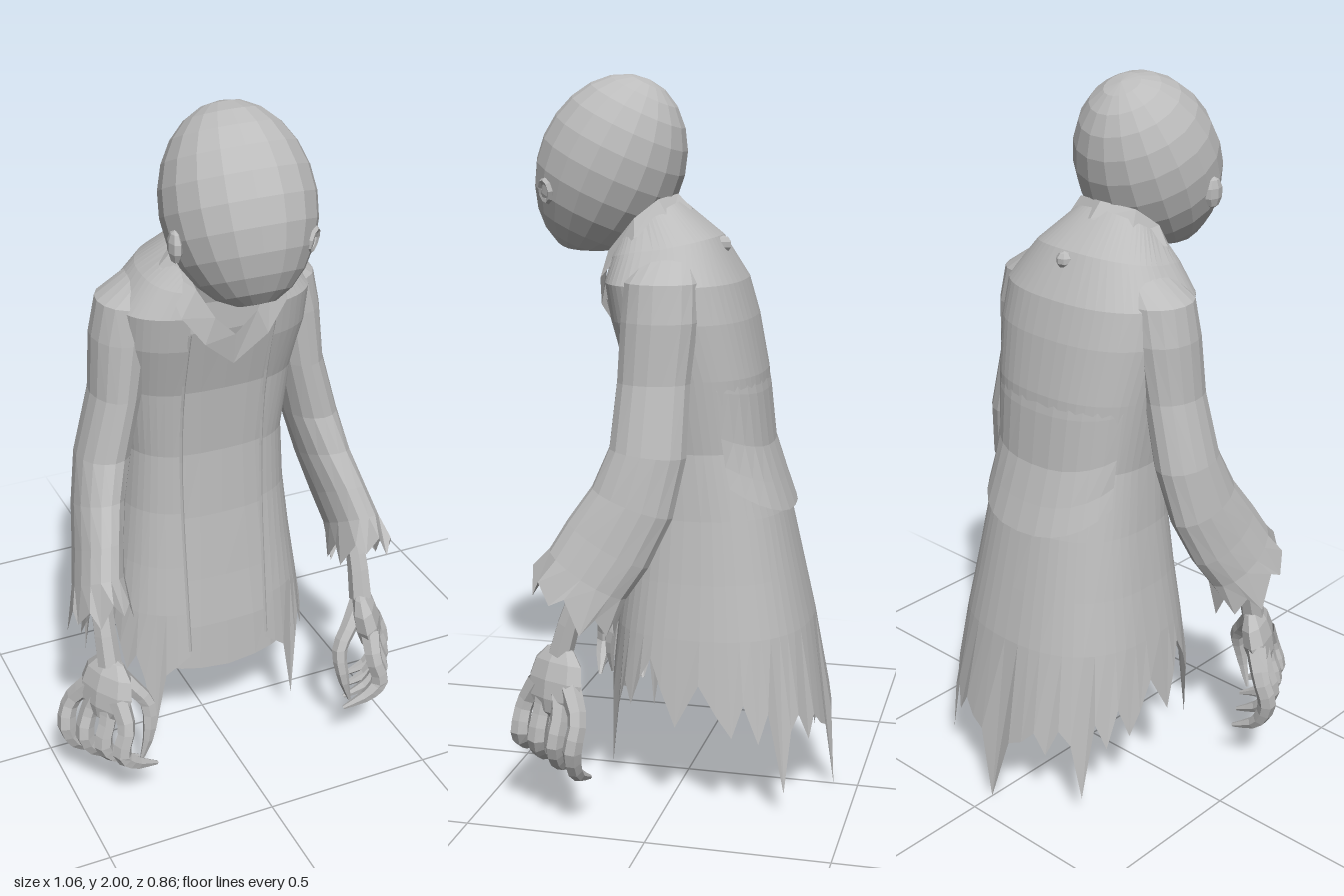
import * as THREE from 'three';

const grey = new THREE.MeshStandardMaterial({ color: 0xbcbcbc, side: THREE.DoubleSide, flatShading: true });
grey.name = 'plain grey';

// Surface through rows of points; every row has the same number of points.
function loft(rows, closed = false) {
  const n = rows[0].length, pos = rows.flat(2), index = [];
  for (let r = 0; r < rows.length - 1; r++)
    for (let c = 0; c < (closed ? n : n - 1); c++) {
      const d = (c + 1) % n, a = r * n + c, b = r * n + d;
      index.push(a, a + n, b, b, a + n, b + n);
    }
  const g = new THREE.BufferGeometry();
  g.setAttribute('position', new THREE.Float32BufferAttribute(pos, 3));
  g.setIndex(index);
  g.computeVertexNormals();
  return g;
}

function add(group, name, geometry) {
  const m = new THREE.Mesh(geometry, grey);
  m.name = name;
  group.add(m);
  return m;
}

// Round limb along a curve, with a radius for each control point.
function limb(points, radii, sides = 6, steps = 10) {
  const curve = new THREE.CatmullRomCurve3(points.map(p => new THREE.Vector3(...p)));
  const { normals, binormals } = curve.computeFrenetFrames(steps);
  const rows = [];
  for (let i = 0; i <= steps; i++) {
    const t = i / steps, f = t * (radii.length - 1), k = Math.min(Math.floor(f), radii.length - 2);
    const r = THREE.MathUtils.lerp(radii[k], radii[k + 1], f - k), c = curve.getPoint(t), row = [];
    for (let j = 0; j < sides; j++) {
      const a = j / sides * Math.PI * 2;
      row.push(c.clone().addScaledVector(normals[i], -Math.cos(a) * r)
        .addScaledVector(binormals[i], Math.sin(a) * r).toArray());
    }
    rows.push(row);
  }
  return loft(rows, true);
}

// Coat outline: height, half width, front z, back z
const PROFILE = [
  [1.61, 0.13, 0.18, 0.02], [1.54, 0.205, 0.2, -0.09], [1.45, 0.275, 0.21, -0.16], [1.35, 0.275, 0.195, -0.19],
  [1.2, 0.255, 0.155, -0.22], [1.0, 0.235, 0.14, -0.237], [0.82, 0.25, 0.147, -0.29], [0.6, 0.28, 0.17, -0.34],
  [0.4, 0.315, 0.195, -0.385], [0.25, 0.33, 0.2, -0.41], [0, 0.34, 0.21, -0.43],
];
function profileAt(y) {
  let i = 0;
  while (i < PROFILE.length - 2 && y < PROFILE[i + 1][0]) i++;
  const a = PROFILE[i], b = PROFILE[i + 1];
  const t = THREE.MathUtils.clamp((a[0] - y) / (a[0] - b[0]), 0, 1);
  return [1, 2, 3].map(k => a[k] + (b[k] - a[k]) * t);
}
// The front is boxier than the back
const FRONT_POW = 0.72, BACK_POW = 0.85;
// Point on the coat; angle 0 is the front, grow pushes the surface outward
function coatPoint(angle, y, grow = 0) {
  const [w, zf, zb] = profileAt(y), s = Math.sin(angle), c = Math.cos(angle);
  const pow = c > 0 ? FRONT_POW : BACK_POW;
  const rise = y > 1.45 ? -0.05 * c * (y - 1.45) / 0.16 : 0;
  return [Math.sign(s) * Math.abs(s) ** pow * (w + grow), y + rise,
    (zf + zb) / 2 + Math.sign(c) * Math.abs(c) ** pow * ((zf - zb) / 2 + grow)];
}
function openAngle(y) {
  const w = profileAt(y)[0];
  return Math.asin((Math.min(0.12, w * 0.65) / w) ** (1 / FRONT_POW));
}

// Ragged hem heights from the front edge to the middle of the back
const HEM = [0.36, 0.33, 0.3, 0.1, 0.28, 0.36, 0.3, 0.38, 0.44, 0.36, 0.26, 0.38, 0.3,
  0.24, 0.33, 0.22, 0.3, 0.07, 0.24, 0.28, 0.2, 0.26, 0.22, 0.2, 0];

function buildClothes(group) {
  const heights = [1.61, 1.54, 1.45, 1.35, 1.2, 1.0, 0.82, 0.65, 0.5], cols = 48;
  const rows = [...heights, null].map(h => {
    const row = [];
    for (let c = 0; c <= cols; c++) {
      const y = h ?? HEM[c <= 24 ? c : cols - c], a0 = openAngle(y);
      row.push(coatPoint(a0 + (2 * Math.PI - 2 * a0) * c / cols, y));
    }
    return row;
  });
  add(group, 'coat', loft(rows));

  // Shirt front showing between the coat edges
  const shirt = [1.5, 1.4, 1.2, 1.0, 0.8, 0.6, 0.45, 0.32].map(y => {
    const row = [];
    for (let c = 0; c <= 10; c++) {
      const a = (c / 10 - 0.5) * 1.7;
      row.push(coatPoint(a, y === 0.32 ? 0.3 + 0.04 * Math.abs(c / 5 - 1) : y, -0.006));
    }
    return row;
  });
  add(group, 'shirt', loft(shirt));

  // Flap over the back, lifting off toward the middle of its hem
  const flap = [1.3, 1.15, 1.0, 0.9, 0.82].map((h, r) => {
    const row = [];
    for (let c = 0; c <= 12; c++) {
      const u = c / 6 - 1;
      row.push(coatPoint(Math.PI + u * 1.1, h + (r / 4) * 0.09 * u * u, -0.002 + 0.005 * r * (1 - 0.6 * u * u)));
    }
    return row;
  });
  add(group, 'backFlap', loft(flap));

  // Collar running round the neck and down to a point at the front
  const inner = [[0, 1.39, 0.215], [0.06, 1.45, 0.22], [0.105, 1.53, 0.2], [0.13, 1.62, 0.12], [0.1, 1.67, 0.06], [0, 1.68, 0.03]];
  const outer = [[0, 1.3, 0.205], [0.09, 1.38, 0.225], [0.15, 1.46, 0.21], [0.17, 1.57, 0.11], [0.12, 1.61, 0.02], [0, 1.64, -0.01]];
  const wrap = p => [...p, ...p.slice(0, -1).reverse().map(([x, y, z]) => [-x, y, z])];
  add(group, 'collar', loft([wrap(inner), wrap(outer)]));

  // Raised seam beside each coat opening
  for (const s of [1, -1]) {
    const edge = [1.4, 1.2, 1.0, 0.8, 0.6, 0.38].map(y => coatPoint(s * openAngle(y), y, 0.002));
    add(group, 'coatEdge', limb(edge, [0.005, 0.005], 4, 12));
  }
  const stud = add(group, 'backStud', new THREE.SphereGeometry(0.024, 7, 5));
  stud.position.set(0.01, 1.545, -0.1);
}

function buildHead(group) {
  // Egg-shaped skull with a full jaw and a flattened chin, tipped forward
  const g = new THREE.SphereGeometry(1, 18, 12), p = g.attributes.position;
  for (let i = 0; i < p.count; i++) {
    const y = p.getY(i), r = Math.max(Math.sqrt(1 - Math.min(1, y * y)), 0.2);
    const k = y < 0 ? r ** -0.1 * (1 - 0.12 * y * y) : 1;
    p.setXYZ(i, p.getX(i) * 0.2 * k, y * 0.26, p.getZ(i) * 0.203 * k);
  }
  g.rotateX(-0.45);
  g.translate(0, 1.752, 0.222);
  for (let i = 0; i < p.count; i++) {
    if (p.getY(i) < 1.53) p.setY(i, 1.53 + (p.getY(i) - 1.53) * 0.4);
  }
  add(group, 'head', g);
  add(group, 'neck', limb([[0, 1.4, 0.06], [0, 1.52, 0.11], [0, 1.66, 0.18]], [0.12, 0.1, 0.09], 10, 5));

  // Eye ring on one side, ear on the other
  const eye = add(group, 'eyeRing', new THREE.TorusGeometry(0.028, 0.01, 5, 9));
  eye.position.set(0.135, 1.69, 0.365);
  eye.lookAt(0.5, 1.6, 0.75);
  const ear = add(group, 'ear', new THREE.SphereGeometry(0.04, 7, 5));
  ear.scale.set(0.45, 1.1, 0.8);
  ear.position.set(-0.192, 1.69, 0.27);
}

function buildArm() {
  const arm = new THREE.Group();
  arm.name = 'arm';

  // Sleeve rings: centre x, y, z, radius across, radius front to back, tilt
  const rings = [[0.17, 1.52, 0.02, 0.05, 0.07, 0], [0.225, 1.46, 0.02, 0.085, 0.1, 0], [0.25, 1.36, 0.02, 0.08, 0.105, 0],
    [0.272, 1.2, 0.03, 0.07, 0.1, 0], [0.315, 1.02, 0.035, 0.075, 0.105, 0.1], [0.345, 0.89, 0.07, 0.07, 0.11, 0.35],
    [0.372, 0.78, 0.13, 0.066, 0.11, 0.55], [0.392, 0.7, 0.18, 0.068, 0.105, 0.6], [0.403, 0.63, 0.22, 0.082, 0.11, 0.6]];
  const n = 16;
  const rows = rings.map(([x, y, z, rx, rz, tilt], r) => {
    const row = [];
    for (let j = 0; j < n; j++) {
      const a = j / n * Math.PI * 2, tear = r === rings.length - 1 ? [0.02, -0.05, 0.01, -0.025][j % 4] : 0;
      const dz = Math.cos(a) * rz, grow = 1 - tear * 2;
      row.push([x + Math.sin(a) * rx * grow, y + dz * tilt + tear, z + dz]);
    }
    return row;
  });
  add(arm, 'sleeve', loft(rows, true));

  // Bony wrist and flattened palm
  add(arm, 'forearm', limb([[0.38, 0.76, 0.14], [0.395, 0.6, 0.22], [0.395, 0.47, 0.26]], [0.035, 0.03, 0.034], 7, 6));
  const palm = add(arm, 'palm', new THREE.SphereGeometry(1, 8, 6));
  palm.scale.set(0.042, 0.1, 0.095);
  palm.position.set(0.41, 0.4, 0.27);
  palm.rotation.set(0, -0.45, 0.25, 'YXZ');

  // Four clawed fingers fanned from back to front and curling inward, and a thumb
  for (let i = 0; i < 4; i++) {
    const z = 0.185 + i * 0.06, out = 0.508 - 0.033 * i, low = 0.125 + 0.012 * i;
    add(arm, 'finger', limb([[0.44 - 0.015 * i, 0.39, 0.22 + i * 0.035], [out - 0.02, 0.32, z], [out, 0.24, z + 0.01],
      [out - 0.035, low + 0.04, z + 0.01], [out - 0.11, low, z - 0.005]], [0.03, 0.025, 0.027, 0.021, 0.006]));
  }
  add(arm, 'thumb', limb([[0.39, 0.45, 0.26], [0.345, 0.4, 0.29], [0.305, 0.34, 0.31], [0.31, 0.25, 0.33], [0.335, 0.16, 0.33]],
    [0.03, 0.025, 0.023, 0.018, 0.005]));
  return arm;
}

export function createModel() {
  const model = new THREE.Group();
  model.name = 'stoopedFigure';
  buildClothes(model);
  buildHead(model);
  const left = buildArm(), right = buildArm();
  left.name = 'leftArm';
  right.name = 'rightArm';
  right.scale.x = -1;
  model.add(left, right);
  return model;
}
